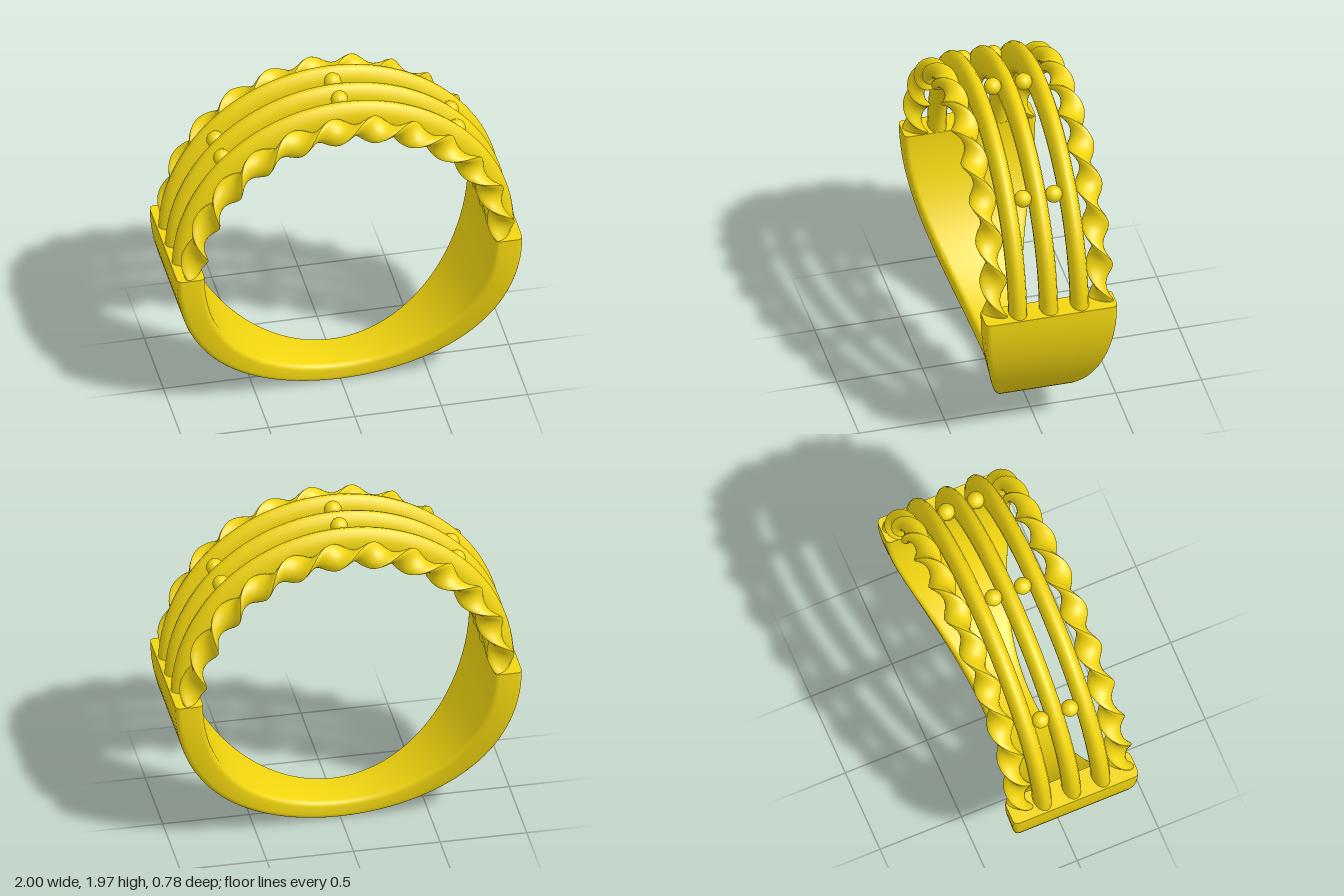
import * as THREE from 'three';
import { toCreasedNormals } from 'three/addons/utils/BufferGeometryUtils.js';

const CENTRE_Y = 1;

// Sweeps a closed cross-section along an arc about the ring centre, with flat ends.
// section(theta) returns [radius, z] pairs.
function sweepArc(start, end, steps, section) {
  const positions = [], indices = [];
  let n = 0;
  for (let i = 0; i <= steps; i++) {
    const t = start + (end - start) * i / steps;
    const points = section(t);
    n = points.length;
    for (const [r, z] of points) {
      positions.push(r * Math.cos(t), CENTRE_Y + r * Math.sin(t), z);
    }
  }
  for (let i = 0; i < steps; i++) {
    for (let j = 0; j < n; j++) {
      const a = i * n + j, b = i * n + (j + 1) % n;
      indices.push(a, a + n, b, b, a + n, b + n);
    }
  }
  const last = steps * n;
  for (let j = 1; j < n - 1; j++) {
    indices.push(0, j, j + 1, last, last + j + 1, last + j);
  }
  const geometry = new THREE.BufferGeometry();
  geometry.setAttribute('position', new THREE.Float32BufferAttribute(positions, 3));
  geometry.setIndex(indices);
  return toCreasedNormals(geometry, 0.8);
}

// Ellipse in the (radius, z) plane, turned by an angle
function ellipse(r, z, a, b, turn, sides) {
  return Array.from({ length: sides }, (_, k) => {
    const p = k / sides * Math.PI * 2;
    const u = a * Math.cos(p), v = b * Math.sin(p);
    return [
      r + u * Math.cos(turn) - v * Math.sin(turn),
      z + u * Math.sin(turn) + v * Math.cos(turn),
    ];
  });
}

// Rounded rectangle in the (radius, z) plane
function roundedRect(inner, outer, halfWidth, corner) {
  const mid = (inner + outer) / 2, halfDepth = (outer - inner) / 2;
  const points = [];
  [[1, 1], [-1, 1], [-1, -1], [1, -1]].forEach(([su, sv], q) => {
    for (let k = 0; k <= 4; k++) {
      const p = (q + k / 4) * Math.PI / 2;
      points.push([
        mid + su * (halfDepth - corner) + corner * Math.cos(p),
        sv * (halfWidth - corner) + corner * Math.sin(p),
      ]);
    }
  });
  return points;
}

export function createModel() {
  const ring = new THREE.Group();
  ring.name = 'ring';
  const gold = new THREE.MeshStandardMaterial({ color: 0xf2d60f });
  const add = (name, geometry) => {
    const mesh = new THREE.Mesh(geometry, gold);
    mesh.name = name;
    ring.add(mesh);
    return mesh;
  };

  // Lower band: wide and thick at the shoulders, narrow and thin at the bottom
  add('band', sweepArc(Math.PI, Math.PI * 2, 64, (t) => {
    const s = Math.cos(t) ** 2;
    return roundedRect(0.89 - 0.05 * s, 1, 0.14 + 0.245 * s, 0.03);
  }));

  // Three plain rails, deeper at the crown
  for (const z of [-0.18, 0, 0.18]) {
    add('rail', sweepArc(0, Math.PI, 56, (t) => {
      const s = Math.sin(t);
      return ellipse(0.91 - 0.05 * s, z, 0.08 + 0.02 * s, 0.052, 0, 16);
    }));
  }

  // Twisted wire along each edge, lying flat at the crown
  const halfTurns = 11.6;
  for (const z of [-0.31, 0.31]) {
    add('twistedWire', sweepArc(0, Math.PI, 200, (t) => {
      const turn = Math.PI / 2 + (t - Math.PI / 2) * halfTurns;
      return ellipse(0.895 - 0.04 * Math.sin(t), z, 0.078, 0.033, turn, 16);
    }));
  }

  // Beads between the rails
  const bead = new THREE.SphereGeometry(0.05, 20, 14);
  for (const x of [-0.68, 0, 0.68]) {
    for (const z of [-0.09, 0.09]) {
      add('bead', bead).position.set(x, CENTRE_Y + Math.sqrt(0.92 ** 2 - x * x), z);
    }
  }
  return ring;
}
